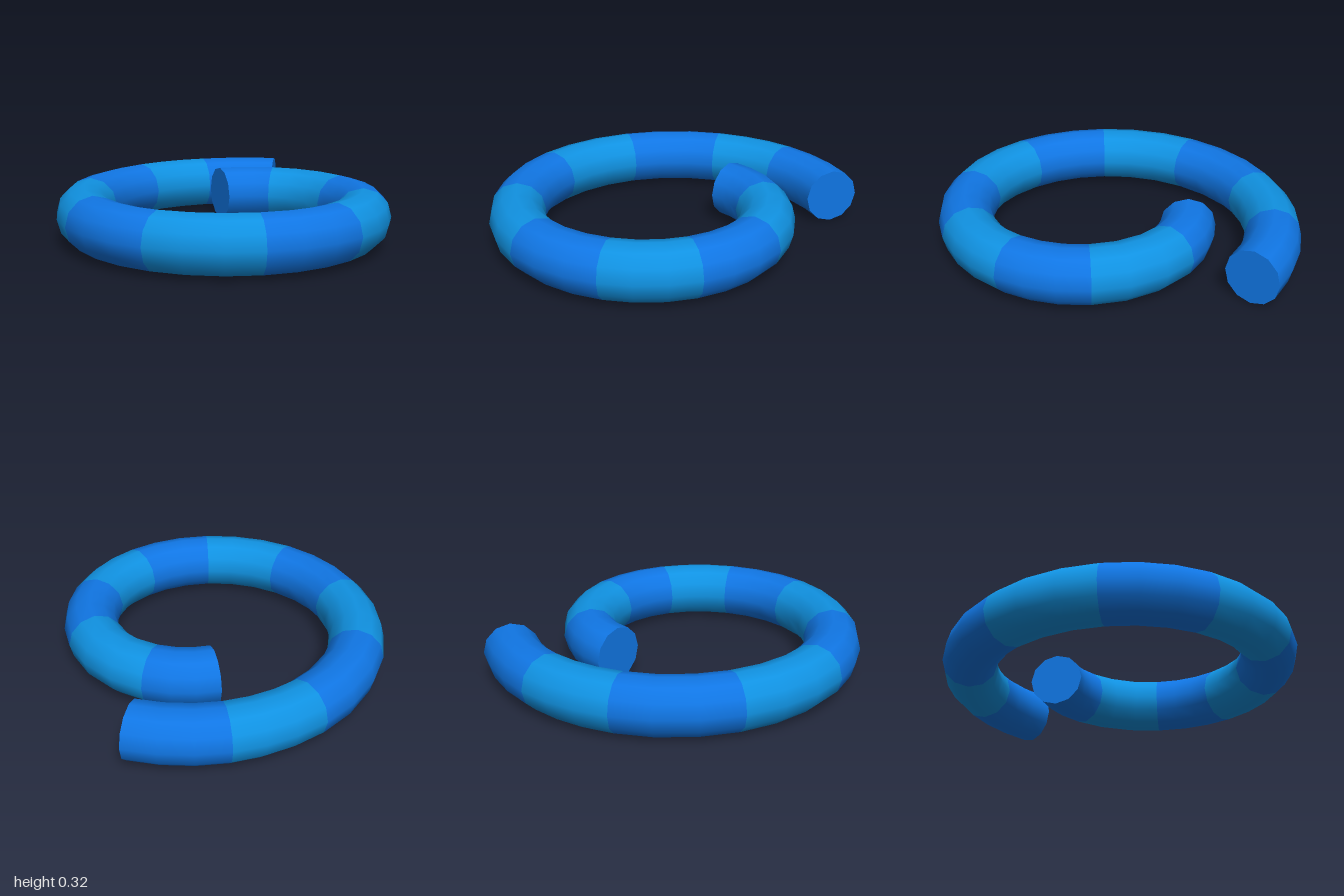
import * as THREE from 'three';

const RADIUS = 0.154;
const SIDES = 12;
const STEPS = 3; // rings per coloured band
const CENTRE = new THREE.Vector2(0.125, 0.016);

// Band joints along the spiral: angle in degrees (from +x towards +z), distance from the centre
const JOINTS = [
  [239.8, 1.025], [213, 0.998], [186.5, 0.959], [150.9, 0.904],
  [114.8, 0.853], [79.5, 0.805], [42.5, 0.753], [6.3, 0.701],
  [-29.7, 0.659], [-67.2, 0.619], [-113.2, 0.572], [-147.3, 0.529],
];
const BANDS = JOINTS.length - 1;
const polar = new THREE.CatmullRomCurve3(
  JOINTS.map(([a, r]) => new THREE.Vector3(THREE.MathUtils.degToRad(a), r, 0)), false, 'catmullrom', 0.5);

// Point on the spiral's centre line, rising very slightly towards the inner end
function pathPoint(t) {
  const p = polar.getPoint(t);
  return new THREE.Vector3(
    CENTRE.x + p.y * Math.cos(p.x), 0.155 + 0.014 * t, CENTRE.y + p.y * Math.sin(p.x));
}

function pathTangent(t) {
  const a = pathPoint(Math.max(0, t - 0.002));
  const b = pathPoint(Math.min(1, t + 0.002));
  return b.sub(a).setY(0).normalize();
}

// One tube band between t0 and t1, with normals that run on smoothly into the next band
function bandGeometry(t0, t1) {
  const positions = [], normals = [], indices = [];
  const up = new THREE.Vector3(0, 1, 0);
  for (let i = 0; i <= STEPS; i++) {
    const t = t0 + (t1 - t0) * i / STEPS;
    const centre = pathPoint(t);
    const side = pathTangent(t).cross(up);
    for (let j = 0; j <= SIDES; j++) {
      const a = j / SIDES * Math.PI * 2;
      const n = side.clone().multiplyScalar(Math.cos(a)).addScaledVector(up, Math.sin(a));
      normals.push(n.x, n.y, n.z);
      positions.push(...centre.clone().addScaledVector(n, RADIUS).toArray());
    }
  }
  const row = SIDES + 1;
  for (let i = 0; i < STEPS; i++) {
    for (let j = 0; j < SIDES; j++) {
      const a = i * row + j, b = a + row;
      indices.push(a, b, a + 1, b, b + 1, a + 1);
    }
  }
  const g = new THREE.BufferGeometry();
  g.setAttribute('position', new THREE.Float32BufferAttribute(positions, 3));
  g.setAttribute('normal', new THREE.Float32BufferAttribute(normals, 3));
  g.setIndex(indices);
  return g;
}

export function createModel() {
  const group = new THREE.Group();
  group.name = 'spiralTube';
  const blue = new THREE.MeshStandardMaterial({ color: 0x1076e4 });
  blue.name = 'blue';
  const skyBlue = new THREE.MeshStandardMaterial({ color: 0x1092e2 });
  skyBlue.name = 'skyBlue';

  // Alternating coloured bands
  for (let k = 0; k < BANDS; k++) {
    const band = new THREE.Mesh(bandGeometry(k / BANDS, (k + 1) / BANDS), k % 2 ? skyBlue : blue);
    band.name = `band${k + 1}`;
    group.add(band);
  }

  // Flat caps on both ends
  for (const [name, t, sign] of [['outerCap', 0, -1], ['innerCap', 1, 1]]) {
    const cap = new THREE.Mesh(new THREE.CircleGeometry(RADIUS, SIDES), blue);
    cap.name = name;
    cap.position.copy(pathPoint(t));
    cap.lookAt(cap.position.clone().addScaledVector(pathTangent(t), sign));
    group.add(cap);
  }
  return group;
}
